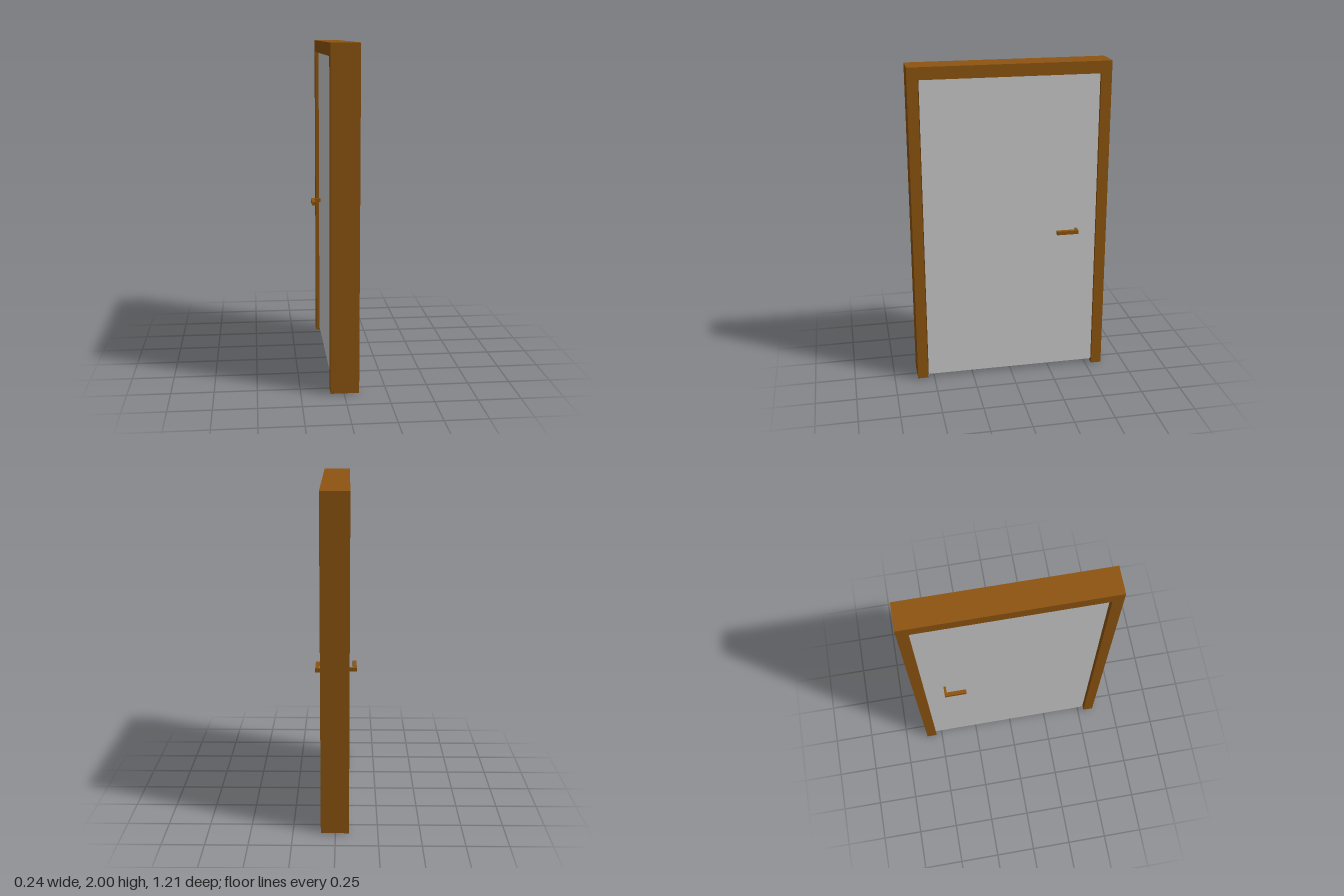
import * as THREE from 'three';

const brown = new THREE.MeshStandardMaterial({ color: 0x8d5410 });
const grey = new THREE.MeshStandardMaterial({ color: 0xcccccc });

// Box given by its lower and upper corners
function block(name, [x0, y0, z0], [x1, y1, z1], material) {
  const mesh = new THREE.Mesh(new THREE.BoxGeometry(x1 - x0, y1 - y0, z1 - z0), material);
  mesh.position.set((x0 + x1) / 2, (y0 + y1) / 2, (z0 + z1) / 2);
  mesh.name = name;
  return mesh;
}

// Two posts and a lintel as one profile, drawn in z and y, extruded along x
function doorFrame() {
  const profile = new THREE.Shape([
    [-0.605, 0], [-0.54, 0], [-0.54, 1.926], [0.541, 1.926],
    [0.541, 0.008], [0.605, 0.008], [0.605, 2], [-0.605, 2],
  ].map(([z, y]) => new THREE.Vector2(z, y)));
  const geometry = new THREE.ExtrudeGeometry(profile, { depth: 0.166, bevelEnabled: false });
  geometry.rotateY(-Math.PI / 2).translate(0.086, 0, 0);
  const mesh = new THREE.Mesh(geometry, brown);
  mesh.name = 'doorFrame';
  return mesh;
}

// L-shaped lever: a stem out of the door and a grip along it
function lever(name, side, outer, y0) {
  const group = new THREE.Group();
  group.name = name;
  const inner = outer - 0.023;
  const span = (a, b) => (side > 0 ? [a, b] : [-b, -a]);
  const [s0, s1] = span(0.05, inner);
  const [g0, g1] = span(inner, outer);
  group.add(
    block('leverStem', [s0, y0, -0.42], [s1, y0 + 0.023, -0.406], brown),
    block('leverGrip', [g0, y0, -0.42], [g1, y0 + 0.023, -0.284], brown),
  );
  return group;
}

export function createModel() {
  const model = new THREE.Group();
  model.name = 'door';
  model.add(doorFrame());

  // Door leaf: brown edges with a grey face on each side
  const y0 = 0.022, y1 = 1.926, z0 = -0.54, z1 = 0.535;
  model.add(
    block('doorCore', [-0.056, y0, z0], [0.064, y1, z1], brown),
    block('leftDoorFace', [0.064, y0, z0], [0.066, y1, z1], grey),
    block('rightDoorFace', [-0.058, y0, z0], [-0.056, y1, z1], grey),
  );

  model.add(lever('leftHandle', 1, 0.119, 0.936), lever('rightHandle', -1, 0.122, 0.941));
  return model;
}
